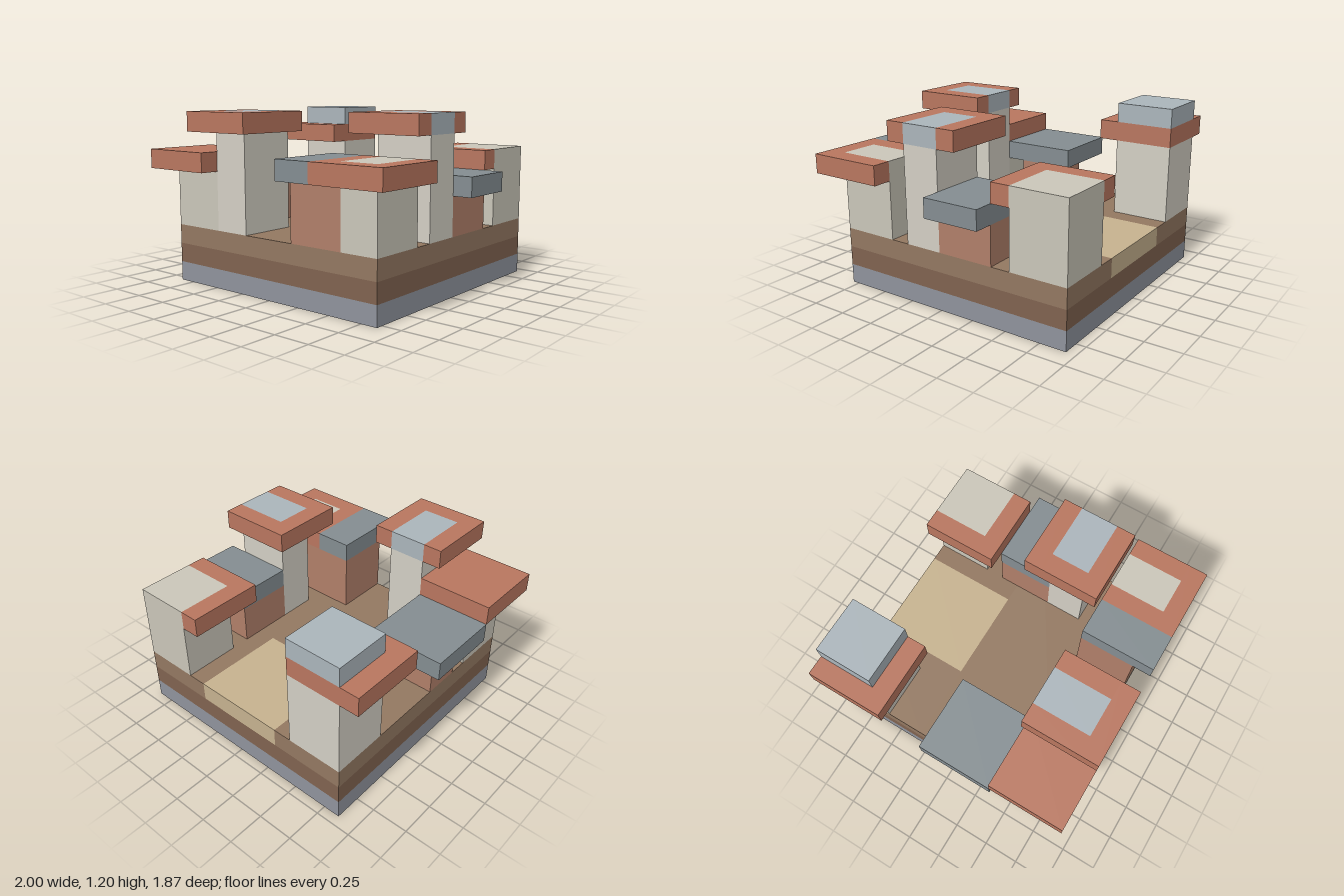
import * as THREE from 'three';

const U = 1 / 15; // one block unit

const COLORS = {
  stone: 0x8f939c, darkSoil: 0x806350, soil: 0x937861, sand: 0xc6b28f,
  tile: 0xb8765f, clay: 0xb07f69, slate: 0x848d91, glass: 0xabb5bb,
  plaster: 0xcac6b9, paleWall: 0xd3cfc4,
};
const materials = {};
for (const [key, color] of Object.entries(COLORS)) {
  materials[key] = new THREE.MeshStandardMaterial({ color, flatShading: true });
}

// Box spanning [x0, x1] x [y0, y1] x [z0, z1] in block units
function block(parent, name, mat, [x0, x1, z0, z1], y0, y1) {
  const geo = new THREE.BoxGeometry((x1 - x0) * U, (y1 - y0) * U, (z1 - z0) * U);
  const mesh = new THREE.Mesh(geo, materials[mat]);
  mesh.position.set((x0 + x1) / 2 * U, (y0 + y1) / 2 * U, (z0 + z1) / 2 * U);
  mesh.name = name;
  parent.add(mesh);
}

// Slab surrounding a core footprint; sides where both are flush are left out
function rim(parent, name, mat, [x0, x1, z0, z1], [a0, a1, b0, b1], y0, y1) {
  const strips = [[x0, x1, z0, b0], [x0, x1, b1, z1], [x0, a0, b0, b1], [a1, x1, b0, b1]];
  for (const s of strips) {
    if (s[1] > s[0] && s[3] > s[2]) block(parent, name, mat, s, y0, y1);
  }
}

// core: wall footprint, roof: slab footprint, y: slab underside;
// cap: material of a core block showing flush through the slab
const HOUSES = [
  { name: 'backRightTower', core: [-13, -7, -14, -8], roof: [-15, -7, -14, -6], y: 14, wall: 'paleWall', slab: 'tile', raised: 'glass' },
  { name: 'backLeftHouse', core: [7, 13, -14, -8], roof: [5, 13, -14, -6], y: 12, wall: 'plaster', slab: 'tile', cap: 'plaster' },
  { name: 'middleLeftTower', core: [7, 13, 0, 4], roof: [5, 13, -2, 6], y: 16, wall: 'paleWall', slab: 'tile', cap: 'glass' },
  { name: 'middleLeftHut', core: [7, 13, -6, 0], roof: [7, 15, -6, 0], y: 10, wall: 'clay', slab: 'slate' },
  { name: 'middleRightHut', core: [-13, -7, 0, 4], roof: [-15, -7, -2, 6], y: 10, wall: 'clay', slab: 'slate' },
  { name: 'frontRightHouse', core: [-13, -7, 6, 12], roof: [-15, -7, 6, 14], y: 12, wall: 'plaster', slab: 'tile' },
  { name: 'frontRightTower', core: [-7, -3, 6, 12], roof: [-9, -1, 6, 14], y: 16, wall: 'paleWall', slab: 'tile', cap: 'glass' },
  { name: 'frontLeftHut', core: [3, 9, 6, 12], roof: [3, 7, 6, 14], y: 12, wall: 'clay', slab: 'slate' },
  { name: 'frontLeftHouse', core: [9, 13, 6, 12], roof: [7, 15, 6, 14], y: 12, wall: 'plaster', slab: 'tile', cap: 'plaster' },
];

export function createModel() {
  const model = new THREE.Group();
  model.name = 'village';

  // Layered ground with a sandy yard set into the top layer
  const ground = new THREE.Group();
  ground.name = 'ground';
  model.add(ground);
  const plot = [-13, 13, -14, 12];
  const yard = [-5, 5, -14, -4];
  block(ground, 'stoneLayer', 'stone', plot, 0, 2);
  block(ground, 'darkSoilLayer', 'darkSoil', plot, 2, 4);
  rim(ground, 'soilLayer', 'soil', plot, yard, 4, 6);
  block(ground, 'sandYard', 'sand', yard, 4, 6);

  // Houses: walls, overhanging roof slab and optional roof block
  for (const h of HOUSES) {
    const house = new THREE.Group();
    house.name = h.name;
    model.add(house);
    block(house, 'walls', h.wall, h.core, 6, h.y);
    if (h.cap) {
      rim(house, 'roofSlab', h.slab, h.roof, h.core, h.y, h.y + 2);
      block(house, 'roofCore', h.cap, h.core, h.y, h.y + 2);
    } else {
      block(house, 'roofSlab', h.slab, h.roof, h.y, h.y + 2);
    }
    if (h.raised) block(house, 'roofBlock', h.raised, h.core, h.y + 2, h.y + 4);
  }
  return model;
}
